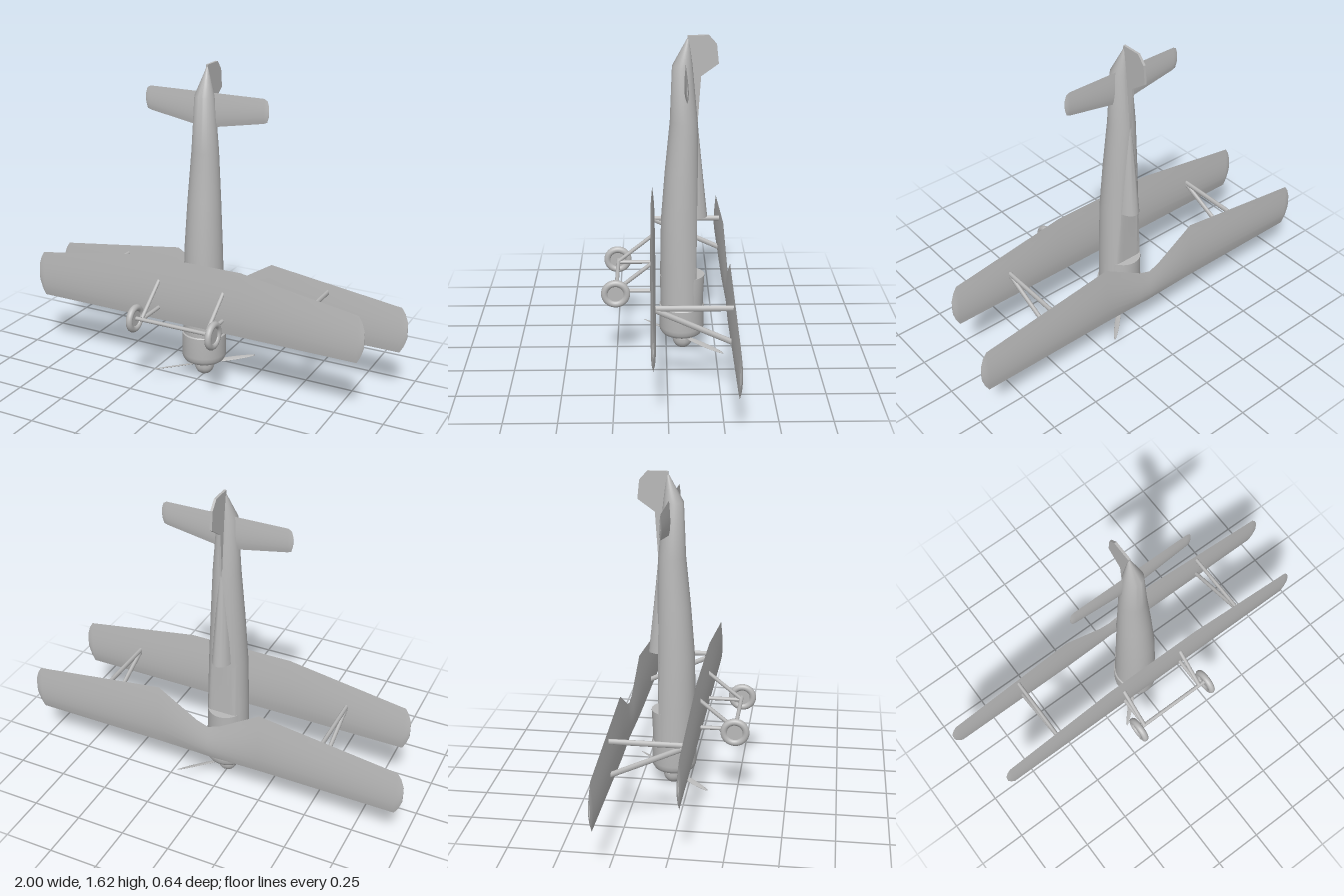
import * as THREE from 'three';
import { toCreasedNormals } from 'three/addons/utils/BufferGeometryUtils.js';

const V = (x, y, z) => new THREE.Vector3(x, y, z);

// Skin a row of closed rings, cap both ends and face everything outward
function loft(rings, crease = 0.6) {
  const n = rings[0].length, pos = [], idx = [];
  rings.forEach(r => r.forEach(p => pos.push(p.x, p.y, p.z)));
  for (let i = 0; i < rings.length - 1; i++) {
    for (let j = 0; j < n; j++) {
      const a = i * n + j, b = i * n + (j + 1) % n;
      idx.push(a, b, b + n, a, b + n, a + n);
    }
  }
  const e = (rings.length - 1) * n;
  for (let j = 1; j < n - 1; j++) idx.push(0, j + 1, j, e, e + j, e + j + 1);
  const at = i => V(pos[i * 3], pos[i * 3 + 1], pos[i * 3 + 2]);
  let volume = 0;
  for (let i = 0; i < idx.length; i += 3) {
    volume += at(idx[i]).dot(at(idx[i + 1]).cross(at(idx[i + 2])));
  }
  if (volume < 0) idx.reverse();
  const g = new THREE.BufferGeometry();
  g.setAttribute('position', new THREE.Float32BufferAttribute(pos, 3));
  g.setIndex(idx);
  return toCreasedNormals(g, crease);
}

// Round ring at height y, cut flat at z = top
function ring(y, z, rx, rz = rx, top = -9, n = 32) {
  return Array.from({ length: n }, (_, i) => {
    const a = i / n * Math.PI * 2;
    return V(Math.sin(a) * rx, y, Math.max(top, z + Math.cos(a) * rz));
  });
}

// Aerofoil ring at station x, from leading edge y0 to trailing edge y1
function foil(x, y0, y1, z, up, down) {
  const pts = [], n = 8;
  for (let i = 0; i < 2 * n; i++) {
    const t = i <= n ? i / n : 2 - i / n;
    const h = Math.sin(Math.PI * Math.pow(t, 0.75));
    pts.push(V(x, y0 + (y1 - y0) * t, z + (i <= n ? -up : down) * h));
  }
  return pts;
}

// Mirrored surface from half-span stations [x, y0, y1, z, up, down]
function wing(stations) {
  const left = stations.filter(s => s[0] > 0).reverse().map(([x, ...r]) => [-x, ...r]);
  return loft([...left, ...stations].map(s => foil(...s)), 0.7);
}

export function createModel() {
  const model = new THREE.Group();
  model.name = 'biplane';
  const grey = new THREE.MeshStandardMaterial({ color: 0xb8b8b8 });
  grey.name = 'plain grey';

  const add = (name, geometry, parent = model) => {
    const m = new THREE.Mesh(geometry, grey);
    m.name = name;
    parent.add(m);
    return m;
  };
  const rod = (name, a, b, r, squash = 1) => {
    const d = b.clone().sub(a);
    const m = add(name, new THREE.CylinderGeometry(r, r, d.length(), 12));
    m.position.copy(a).add(b).multiplyScalar(0.5);
    m.quaternion.setFromUnitVectors(V(0, 1, 0), d.normalize());
    m.scale.x = squash;
  };
  const lathe = (name, pts, z) => {
    const g = new THREE.LatheGeometry(pts.map(p => new THREE.Vector2(...p)), 32);
    add(name, toCreasedNormals(g, 0.6)).position.z = z;
  };

  // Fuselage with a flat cockpit deck and a pointed tail
  add('fuselage', loft([
    ring(0.2, -0.078, 0.107, 0.107, -0.15),
    ring(0.45, -0.073, 0.103, 0.103, -0.15),
    ring(0.7, -0.07, 0.096, 0.096, -0.15),
    ring(0.95, -0.076, 0.083),
    ring(1.2, -0.084, 0.067),
    ring(1.47, -0.076, 0.049),
    ring(1.612, -0.105, 0.001),
  ]));
  // Raised deck ahead of the cockpit
  add('frontDeck', loft([
    ring(0.2, -0.078, 0.107),
    ring(0.3, -0.079, 0.102, 0.108),
    ring(0.405, -0.08, 0.096, 0.112),
  ]));
  // Headrest fairing running down the spine
  add('headrestFairing', loft([
    ring(0.715, -0.13, 0.052, 0.072),
    ring(0.95, -0.13, 0.036, 0.046),
    ring(1.25, -0.125, 0.012, 0.02),
  ]));

  // Engine cowling and spinner
  lathe('cowling', [[0, 0.086], [0.088, 0.086], [0.102, 0.094], [0.111, 0.11], [0.113, 0.13],
    [0.113, 0.24], [0.106, 0.246], [0, 0.246]], -0.078);
  const dome = [];
  for (let i = 0; i <= 8; i++) {
    const a = i / 8 * Math.PI / 2;
    dome.push([0.05 * Math.sin(a), 0.052 - 0.052 * Math.cos(a)]);
  }
  lathe('spinner', [...dome, [0.05, 0.063], [0, 0.065]], -0.083);

  // Two-bladed propeller set on the diagonal
  const propeller = new THREE.Group();
  propeller.name = 'propeller';
  propeller.position.set(0, 0.06, -0.083);
  propeller.rotation.y = Math.PI / 4;
  for (const s of [1, -1]) {
    const blade = add('propellerBlade', new THREE.SphereGeometry(1, 20, 10), propeller);
    blade.scale.set(0.14, 0.003, 0.014);
    blade.position.x = s * 0.14;
    blade.rotation.x = s * 0.3;
  }
  model.add(propeller);

  // Wings: the upper one has a notch in its trailing edge
  add('upperWing', wing([
    [0, 0.24, 0.425, -0.306, 0.014, 0.008],
    [0.06, 0.24, 0.445, -0.304, 0.014, 0.008],
    [0.27, 0.24, 0.575, -0.3, 0.015, 0.012],
    [0.965, 0.24, 0.48, -0.301, 0.012, 0.01],
    [0.985, 0.275, 0.45, -0.301, 0.009, 0.007],
    [1, 0.32, 0.405, -0.301, 0.003, 0.003],
  ]));
  add('lowerWing', wing([
    [0, 0.325, 0.662, 0.068, 0.014, 0.012],
    [0.27, 0.325, 0.662, 0.068, 0.014, 0.012],
    [0.875, 0.325, 0.565, 0.068, 0.012, 0.01],
    [0.893, 0.36, 0.535, 0.068, 0.009, 0.007],
    [0.907, 0.405, 0.49, 0.068, 0.003, 0.003],
  ]));

  // Tailplane and fin
  add('tailplane', wing([
    [0, 1.31, 1.485, -0.091, 0.007, 0.007],
    [0.305, 1.365, 1.485, -0.091, 0.006, 0.006],
    [0.322, 1.372, 1.475, -0.091, 0.005, 0.005],
    [0.33, 1.4, 1.45, -0.091, 0.002, 0.002],
  ]));
  const outline = [[0.1, 1.615], [0.2, 1.615], [0.238, 1.572], [0.248, 1.48], [0.165, 1.42],
    [0.15, 1.18], [0.1, 1.18]].map(p => new THREE.Vector2(...p));
  const fin = new THREE.ExtrudeGeometry(new THREE.Shape(outline), { depth: 0.012, bevelEnabled: false });
  fin.translate(0, 0, -0.006).rotateY(Math.PI / 2);
  add('fin', fin);

  // Wing struts and landing gear, mirrored
  for (const s of [1, -1]) {
    rod('straightStrut', V(s * 0.578, 0.485, 0.065), V(s * 0.578, 0.485, -0.3), 0.014, 0.7);
    rod('slantedStrut', V(s * 0.578, 0.48, 0.065), V(s * 0.578, 0.315, -0.295), 0.014, 0.7);
    rod('gearLeg', V(s * 0.179, 0.395, 0.248), V(s * 0.179, 0.395, 0.065), 0.01);
    rod('gearBrace', V(s * 0.179, 0.4, 0.243), V(s * 0.179, 0.54, 0.07), 0.01);

    const wheel = new THREE.Group();
    wheel.name = 'wheel';
    wheel.position.set(s * 0.216, 0.395, 0.248);
    wheel.rotation.y = Math.PI / 2;
    add('tyre', new THREE.TorusGeometry(0.054, 0.017, 14, 32), wheel);
    add('wheelDisc', new THREE.CylinderGeometry(0.045, 0.045, 0.012, 32).rotateX(Math.PI / 2), wheel);
    model.add(wheel);
  }
  rod('axle', V(-0.215, 0.395, 0.245), V(0.215, 0.395, 0.245), 0.01);

  return model;
}
